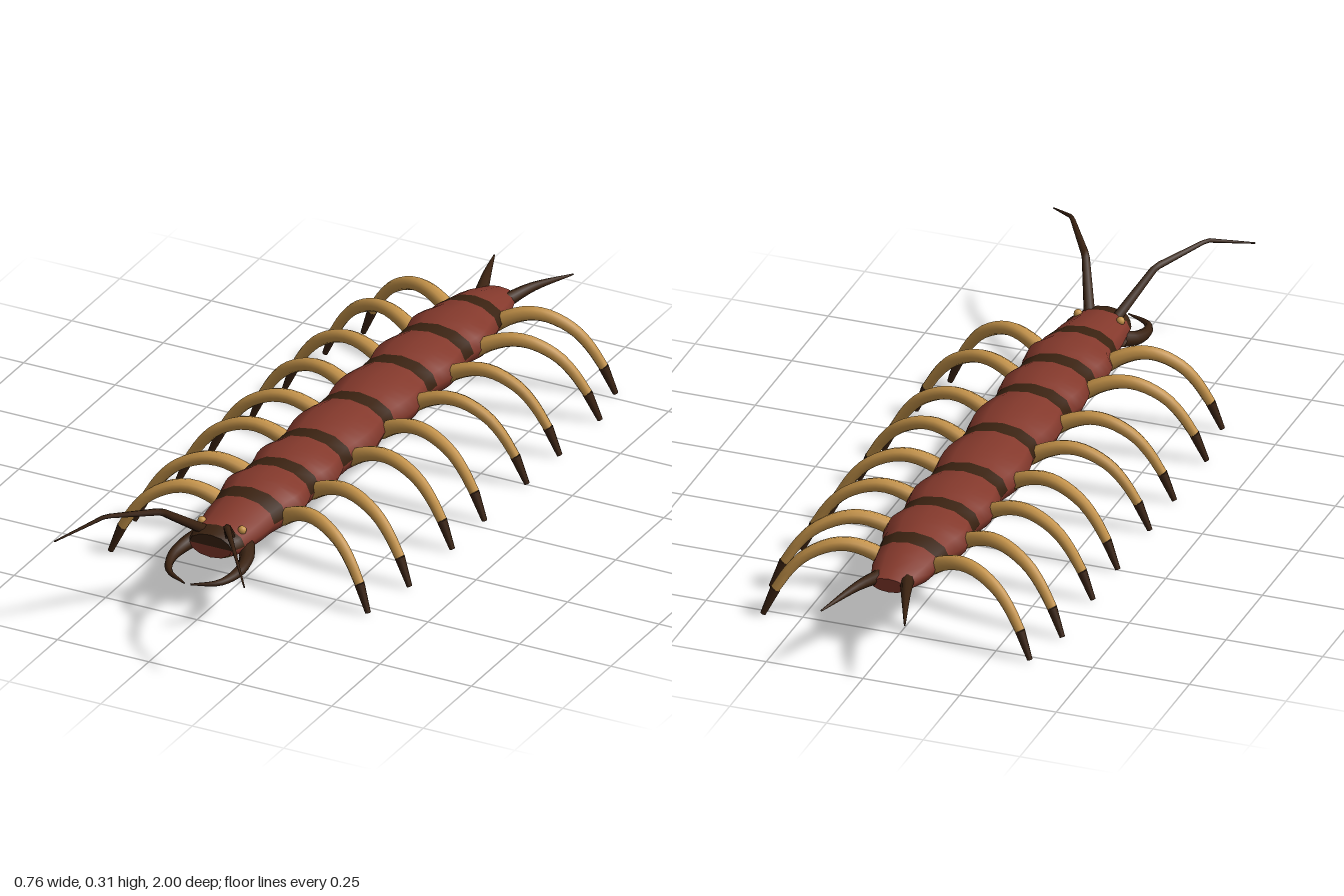
import * as THREE from 'three';

const mat = (name, color) => Object.assign(new THREE.MeshStandardMaterial({ color, side: THREE.DoubleSide }), { name });
const V = (p) => new THREE.Vector3(...p);

// Tube whose radius runs from r0 to r1 along the path
function taperedTube(curve, segs, sides, r0, r1) {
  const g = new THREE.TubeGeometry(curve, segs, 1, sides);
  const pos = g.attributes.position, v = new THREE.Vector3();
  for (let i = 0; i <= segs; i++) {
    const t = i / segs, c = curve.getPointAt(t);
    for (let j = 0; j <= sides; j++) {
      const n = i * (sides + 1) + j;
      v.fromBufferAttribute(pos, n).sub(c).multiplyScalar(r0 + (r1 - r0) * t).add(c);
      pos.setXYZ(n, v.x, v.y, v.z);
    }
  }
  return g;
}

// Body outline along z: [z, half width, bottom y, top y]
const OUTLINE = [
  [-0.825, 0.045, 0.15, 0.186], [-0.75, 0.072, 0.128, 0.212], [-0.67, 0.09, 0.12, 0.228],
  [-0.55, 0.112, 0.114, 0.236], [0, 0.112, 0.11, 0.24], [0.42, 0.111, 0.112, 0.238],
  [0.5, 0.093, 0.115, 0.23], [0.6, 0.078, 0.122, 0.213], [0.65, 0.072, 0.128, 0.207], [0.68, 0.058, 0.138, 0.199],
];
const BANDS = [-0.67, -0.48, -0.29, -0.07, 0.15, 0.32, 0.49];
const HALF_BAND = 0.023, SIDES = 12;

function outlineAt(z) {
  let i = 0;
  while (i < OUTLINE.length - 2 && z > OUTLINE[i + 1][0]) i++;
  const a = OUTLINE[i], b = OUTLINE[i + 1], t = (z - a[0]) / (b[0] - a[0]);
  return a.map((n, k) => n + (b[k] - n) * t);
}

// Scalloped body: groups 0 = shell, 1 = band, 2 = belly
function bodyGeometry() {
  const rings = [{ z: -0.825, pinch: 0 }, { z: -0.79, pinch: 0 }, { z: -0.74, pinch: 0 }];
  BANDS.forEach((b, i) => {
    const pinch = i === 0 || i === BANDS.length - 1 ? 0.004 : 0.014;
    rings.push({ z: b - HALF_BAND, pinch, band: true }, { z: b + HALF_BAND, pinch });
    if (i < BANDS.length - 1) {
      const z0 = b + HALF_BAND, z1 = BANDS[i + 1] - HALF_BAND;
      for (let k = 1; k < 6; k++) {
        rings.push({ z: z0 + (z1 - z0) * k / 6, pinch: 0.014 * (1 - Math.sin(Math.PI * k / 6)) });
      }
    }
  });
  rings.push({ z: 0.56, pinch: 0 }, { z: 0.6, pinch: 0 }, { z: 0.64, pinch: 0, band: true },
    { z: 0.655, pinch: 0, band: true }, { z: 0.68, pinch: 0 });

  const pos = [], faces = [[], [], []];
  const addRing = ({ z, pinch }) => {
    const [, hw, lo, hi] = outlineAt(z);
    for (let k = 0; k < SIDES; k++) {
      const a = k / SIDES * Math.PI * 2;
      pos.push((hw - pinch) * Math.cos(a), (lo + hi) / 2 + ((hi - lo) / 2 - pinch * 0.4) * Math.sin(a), z);
    }
  };
  rings.forEach(addRing);
  for (let i = 0; i < rings.length - 1; i++) {
    for (let k = 0; k < SIDES; k++) {
      const k1 = (k + 1) % SIDES, a = i * SIDES + k, b = i * SIDES + k1;
      const group = k >= 7 && k <= 10 ? 2 : rings[i].band && k < 6 ? 1 : 0;
      faces[group].push(a, b, b + SIDES, a, b + SIDES, a + SIDES);
    }
  }
  // end caps
  [rings[0], rings[rings.length - 1]].forEach((ring, end) => {
    const base = pos.length / 3;
    addRing(ring);
    const [, , lo, hi] = outlineAt(ring.z);
    pos.push(0, (lo + hi) / 2, ring.z);
    for (let k = 0; k < SIDES; k++) {
      const tri = [base + SIDES, base + k, base + (k + 1) % SIDES];
      faces[end && k < 6 ? 1 : 0].push(...(end ? tri : tri.reverse()));
    }
  });
  const g = new THREE.BufferGeometry();
  g.setAttribute('position', new THREE.Float32BufferAttribute(pos, 3));
  g.setIndex(faces.flat());
  let start = 0;
  faces.forEach((f, i) => { g.addGroup(start, f.length, i); start += f.length; });
  g.computeVertexNormals();
  return g;
}

export function createModel() {
  const root = new THREE.Group();
  root.name = 'centipede';
  const shell = mat('shell red', 0x84392c);
  const dark = mat('dark brown', 0x3a2211);
  const tan = mat('leg tan', 0xc6944a);
  const add = (parent, name, geometry, material) => {
    const m = new THREE.Mesh(geometry, material);
    m.name = name;
    parent.add(m);
    return m;
  };

  add(root, 'body', bodyGeometry(), [shell, dark, tan]);

  // Leg pairs: [root z, tip z, reach]
  const LEGS = [
    [0.455, 0.53, 0.352], [0.3, 0.36, 0.376], [0.105, 0.138, 0.376], [-0.06, -0.03, 0.376],
    [-0.21, -0.25, 0.376], [-0.38, -0.42, 0.376], [-0.54, -0.63, 0.376], [-0.685, -0.77, 0.345],
  ];
  // Leg arch: [fraction of reach, y]
  const ARCH = [[0, 0.16], [0.13, 0.184], [0.3, 0.2], [0.46, 0.196], [0.66, 0.166], [0.79, 0.125], [0.9, 0.073], [1, 0.003]];

  for (const [side, s] of [['left', 1], ['right', -1]]) {
    LEGS.forEach(([z0, z1, reach], i) => {
      const leg = new THREE.Group();
      leg.name = `${side}Leg${i + 1}`;
      const x0 = i === 7 ? 0.055 : 0.075;
      const pts = ARCH.map(([t, y]) => V([s * (x0 + (reach - x0) * t), y, z0 + (z1 - z0) * t]));
      add(leg, 'legArch', taperedTube(new THREE.CatmullRomCurve3(pts.slice(0, 7)), 16, 8, 0.021, 0.0125), tan);
      add(leg, 'legClaw', taperedTube(new THREE.LineCurve3(pts[6], pts[7]), 1, 8, 0.013, 0.007), dark);
      root.add(leg);
    });

    // Jointed antenna
    const joints = [[0.035, 0.19, 0.645], [0.09, 0.28, 0.765], [0.175, 0.306, 0.895], [0.26, 0.264, 0.998]]
      .map(([x, y, z]) => V([s * x, y, z]));
    const antenna = new THREE.CurvePath();
    for (let i = 0; i < 3; i++) antenna.add(new THREE.LineCurve3(joints[i], joints[i + 1]));
    add(root, `${side}Antenna`, taperedTube(antenna, 24, 6, 0.014, 0.002), dark);

    // Curved pincer
    const pincer = new THREE.CatmullRomCurve3([[0.06, 0.155, 0.61], [0.083, 0.142, 0.65], [0.09, 0.132, 0.71],
      [0.068, 0.124, 0.765], [0.008, 0.121, 0.8]].map(([x, y, z]) => V([s * x, y, z])));
    add(root, `${side}Pincer`, taperedTube(pincer, 16, 8, 0.022, 0.002), dark);

    // Eye
    const eye = add(root, `${side}Eye`, new THREE.SphereGeometry(0.011, 10, 8), tan);
    eye.position.set(s * 0.055, 0.198, 0.62);

    // Tail spine
    const spine = new THREE.CatmullRomCurve3([[0.035, 0.172, -0.79], [0.062, 0.178, -0.87], [0.108, 0.165, -1]]
      .map(([x, y, z]) => V([s * x, y, z])));
    add(root, `${side}TailSpine`, taperedTube(spine, 10, 8, 0.018, 0.002), dark);
  }
  return root;
}
